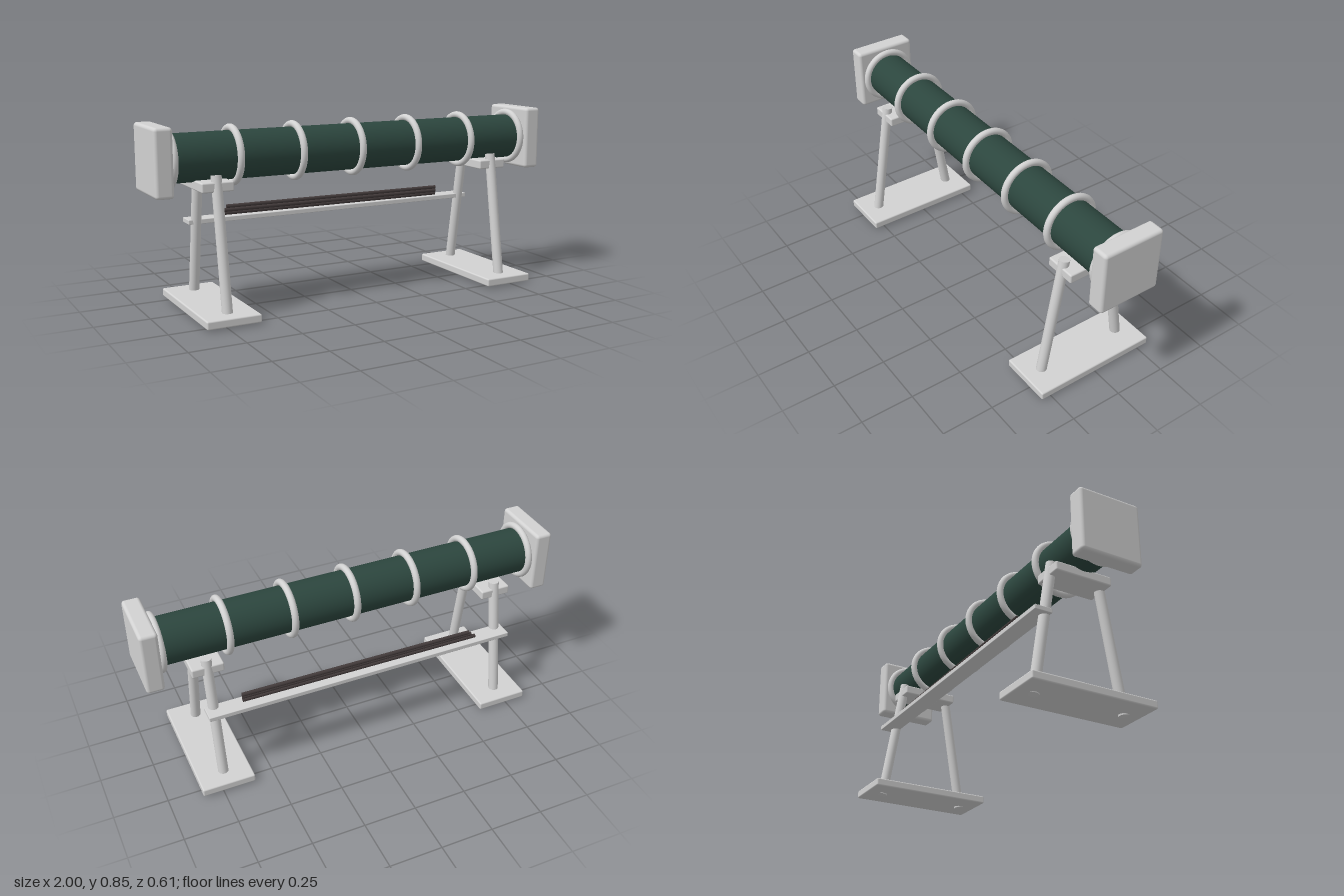
import * as THREE from 'three';
import { RoundedBoxGeometry } from 'three/addons/geometries/RoundedBoxGeometry.js';

export function createModel() {
  const model = new THREE.Group();
  model.name = 'tubeOnTrestles';
  const grey = new THREE.MeshStandardMaterial({ name: 'paleGrey', color: 0xd2d2d2 });
  const green = new THREE.MeshStandardMaterial({ name: 'darkGreen', color: 0x2c463e });
  const brown = new THREE.MeshStandardMaterial({ name: 'darkBrown', color: 0x433b3b });
  const axisY = 0.702;

  function add(name, geometry, material, x, y, z) {
    const mesh = new THREE.Mesh(geometry, material);
    mesh.name = name;
    mesh.position.set(x, y, z);
    model.add(mesh);
    return mesh;
  }

  // Cylinder running between two points
  function rod(name, a, b, radius, material, sides = 24) {
    const dir = b.clone().sub(a);
    const mid = a.clone().add(b).multiplyScalar(0.5);
    const geometry = new THREE.CylinderGeometry(radius, radius, dir.length(), sides);
    const mesh = add(name, geometry, material, mid.x, mid.y, mid.z);
    mesh.quaternion.setFromUnitVectors(new THREE.Vector3(0, 1, 0), dir.normalize());
  }
  const v = (x, y, z) => new THREE.Vector3(x, y, z);

  // Main tube with its rings
  rod('tube', v(-0.93, axisY, 0), v(0.93, axisY, 0), 0.109, green, 48);
  for (const x of [-0.905, -0.605, -0.302, 0, 0.302, 0.605, 0.905]) {
    const ring = add('ring', new THREE.TorusGeometry(0.122, 0.016, 16, 64), grey, x, axisY, 0);
    ring.rotation.y = Math.PI / 2;
  }

  // End caps and splayed trestles
  for (const s of [-1, 1]) {
    add('endCap', new RoundedBoxGeometry(0.082, 0.302, 0.302, 4, 0.015), grey, s * 0.959, axisY, 0);
    const x = s * 0.722;
    add('footPlate', new RoundedBoxGeometry(0.25, 0.038, 0.606, 3, 0.007), grey, x, 0.027, 0);
    add('saddle', new RoundedBoxGeometry(0.148, 0.044, 0.282, 3, 0.007), grey, x, 0.584, 0);
    for (const side of [-1, 1]) {
      rod('leg', v(x, 0.004, side * 0.22), v(x, 0.634, side * 0.117), 0.024, grey);
    }
  }

  // Shelf behind the tube
  add('shelf', new RoundedBoxGeometry(1.524, 0.022, 0.085, 2, 0.003), grey, 0, 0.381, -0.186);

  // Stacked thin rods lying slightly askew on the shelf
  const stack = [
    [-0.595, 0.59, 0.400, 0], [-0.575, 0.59, 0.415, 0.004], [-0.56, 0.592, 0.431, 0],
  ];
  for (const [x0, x1, y, dz] of stack) {
    rod('looseRod', v(x0, y, -0.19 + dz), v(x1, y, -0.178 + dz), 0.0095, brown, 12);
  }
  return model;
}
